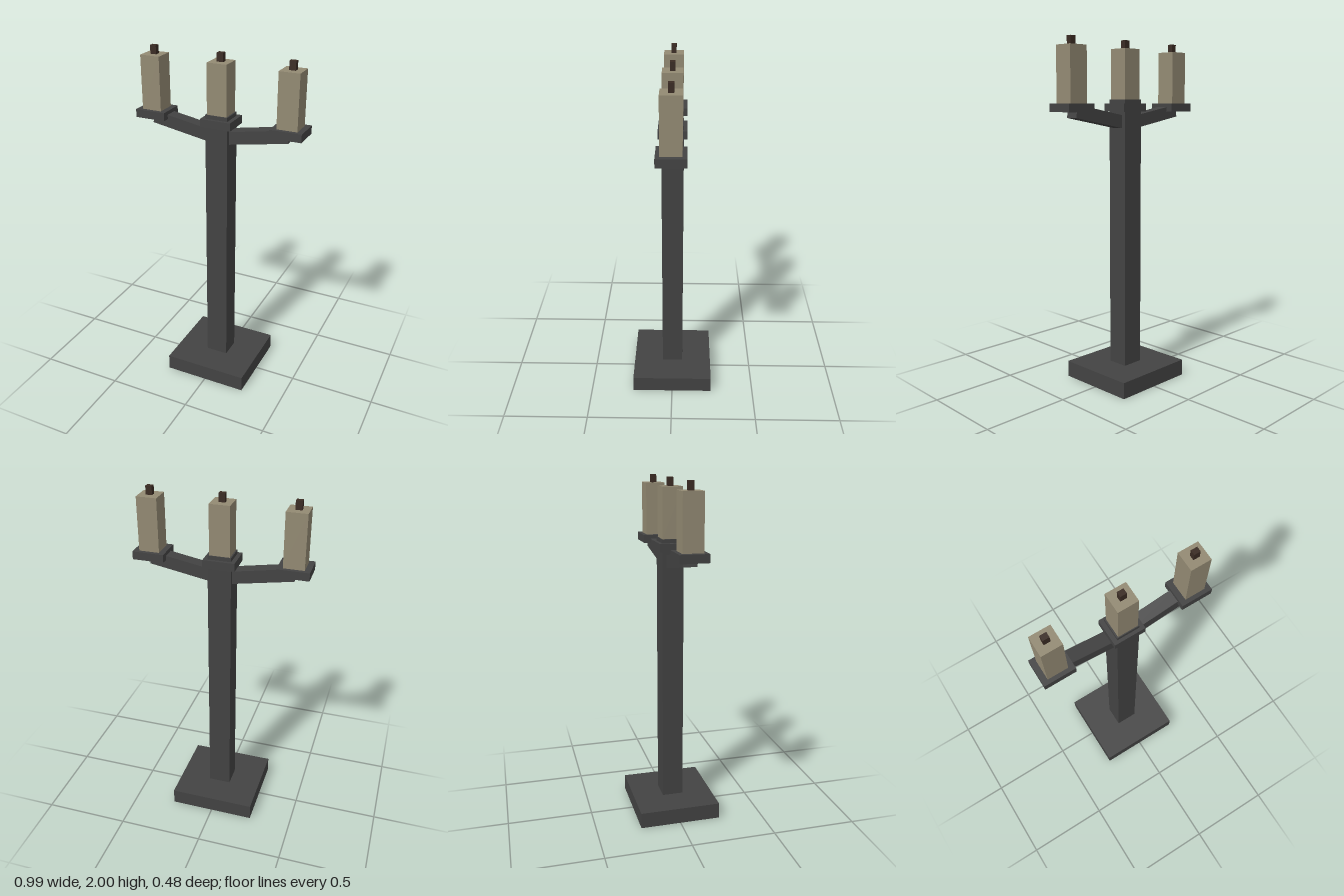
import * as THREE from 'three';

export function createModel() {
  const model = new THREE.Group();
  model.name = 'candelabra';

  const mat = (name, color) => {
    const m = new THREE.MeshStandardMaterial({ color });
    m.name = name;
    return m;
  };
  const iron = mat('dark iron', 0x434343);
  const wax = mat('tallow wax', 0x938a73);
  const char = mat('charred wick', 0x3a2b23);

  // Box given by its width, depth and vertical extent
  const block = (name, material, w, d, y0, y1, parent = model) => {
    const mesh = new THREE.Mesh(new THREE.BoxGeometry(w, y1 - y0, d), material);
    mesh.name = name;
    mesh.position.y = (y0 + y1) / 2;
    parent.add(mesh);
    return mesh;
  };

  // Foot and post
  block('base', iron, 0.505, 0.48, 0, 0.095);
  block('post', iron, 0.132, 0.124, 0.095, 1.668);

  // Three drip trays with candles
  const reach = 0.404;
  for (const [side, name] of [[-1, 'right'], [0, 'middle'], [1, 'left']]) {
    const holder = new THREE.Group();
    holder.name = name + 'Candle';
    holder.position.x = side * reach;
    block('dripTray', iron, 0.18, 0.16, 1.6, 1.646, holder);
    block('candle', wax, 0.116, 0.114, side ? 1.646 : 1.668, 1.952, holder);
    block('wick', char, 0.036, 0.03, 1.952, 2, holder);
    model.add(holder);
  }

  // Arms rising outwards from the post to the outer trays
  const tilt = THREE.MathUtils.degToRad(10);
  const length = 0.402 / Math.cos(tilt);
  for (const side of [-1, 1]) {
    const arm = new THREE.Mesh(new THREE.BoxGeometry(length, 0.072, 0.076), iron);
    arm.name = side < 0 ? 'rightArm' : 'leftArm';
    arm.position.set(side * 0.201, 1.604 - 0.201 * Math.tan(tilt), 0);
    arm.rotation.z = side * tilt;
    model.add(arm);
  }

  return model;
}
